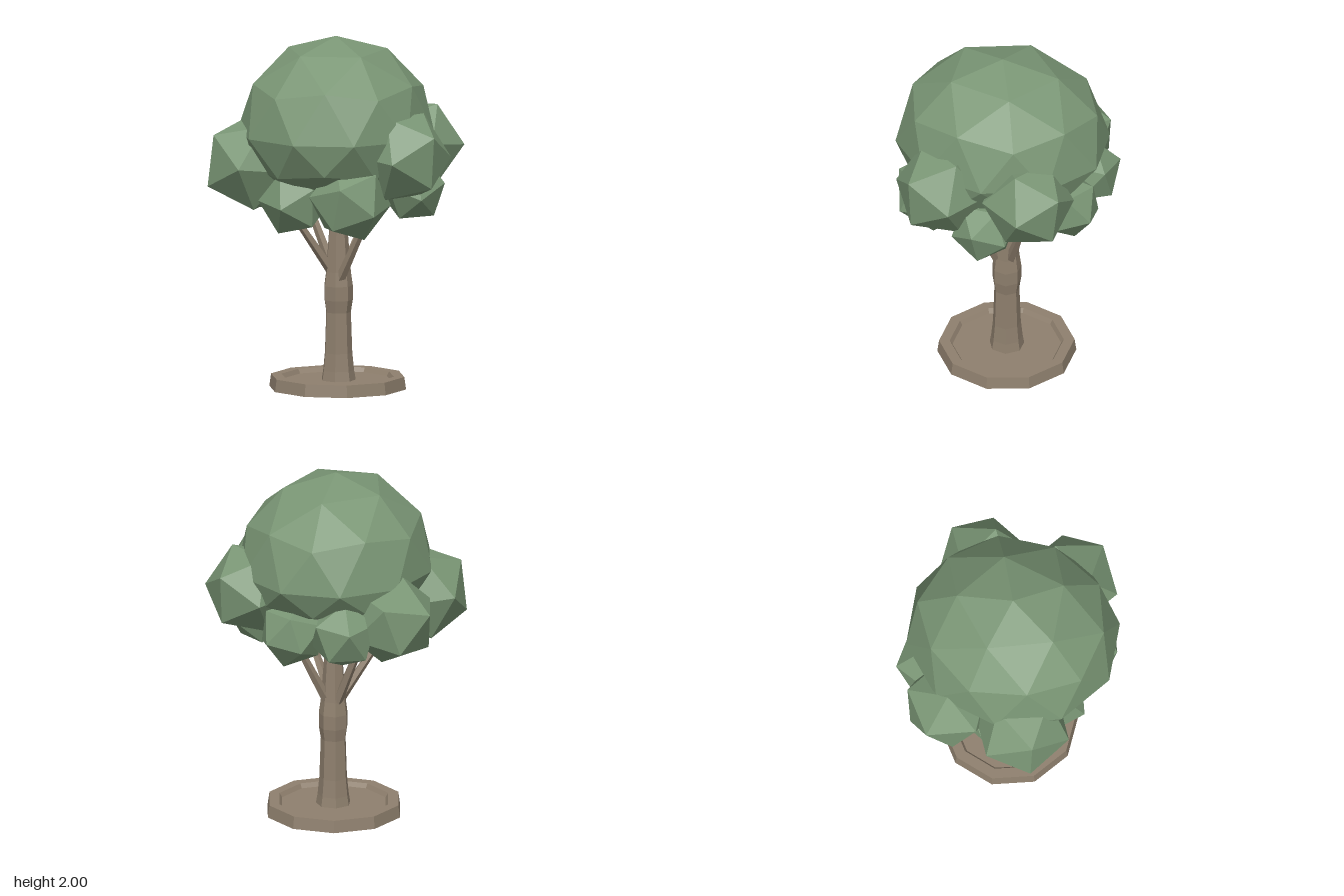
import * as THREE from 'three';

const mat = (name, color) => new THREE.MeshStandardMaterial({ name, color, flatShading: true });

// Rotation frame whose x axis is a, with b in its xy plane
const frame = (a, b) => {
  const x = new THREE.Vector3(...a).normalize();
  const z = x.clone().cross(new THREE.Vector3(...b)).normalize();
  return new THREE.Matrix4().makeBasis(x, z.clone().cross(x), z);
};

export function createModel() {
  const tree = new THREE.Group();
  tree.name = 'tree';
  const bark = mat('bark brown', 0x8f806e);
  const leaf = mat('leaf green', 0x7a9675);
  const dark = mat('dark brown', 0x504845);

  const add = (name, geometry, material, x = 0, y = 0, z = 0) => {
    const mesh = new THREE.Mesh(geometry, material);
    mesh.name = name;
    mesh.position.set(x, y, z);
    tree.add(mesh);
    return mesh;
  };
  const lathe = (points, sides, start) =>
    new THREE.LatheGeometry(points.map(([r, y]) => new THREE.Vector2(r, y)), sides, start);

  // Ten-sided base with a raised rim and a dark underside
  add('base', lathe([[0.39, 0], [0.38, 0.07], [0.32, 0.07], [0.305, 0.045], [0, 0.045]],
    10, Math.PI / 2), bark, 0.02, 0, -0.02);
  add('baseUnderside', lathe([[0, 0], [0.39, 0]], 10, Math.PI / 2), dark, 0.02, 0, -0.02);

  // Trunk: flared foot, knuckle where the branches start, tapering top
  add('trunk', lathe([[0.1, 0.04], [0.09, 0.1], [0.08, 0.2], [0.072, 0.43], [0.083, 0.5],
    [0.083, 0.58], [0.072, 0.66], [0.05, 0.95], [0.04, 1.25]], 7, 0), bark, 0.022, 0, -0.02);

  // Branches
  const up = new THREE.Vector3(0, 1, 0);
  [
    [[0.04, 0.62, 0.02], [0.24, 1.04, 0.14]],
    [[-0.01, 0.66, -0.01], [-0.23, 1.03, 0.12]],
    [[0.05, 0.66, -0.05], [0.21, 1.08, -0.2]],
    [[-0.01, 0.66, -0.05], [-0.2, 1.12, -0.11]],
  ].forEach(([a, b]) => {
    const from = new THREE.Vector3(...a), to = new THREE.Vector3(...b);
    const dir = to.clone().sub(from);
    const mid = from.clone().add(to).multiplyScalar(0.5);
    add('branch', new THREE.CylinderGeometry(0.018, 0.03, dir.length(), 5), bark, mid.x, mid.y, mid.z)
      .quaternion.setFromUnitVectors(up, dir.normalize());
  });

  // Woody core under the crown
  add('crownCore', new THREE.IcosahedronGeometry(1, 1).scale(0.4, 0.16, 0.4), dark, 0.02, 1.21, -0.02);

  // Crown: faceted dome, underside flattened most at the back
  const dome = new THREE.IcosahedronGeometry(1, 1)
    .rotateZ(-Math.atan(2 / (1 + Math.sqrt(5)))).rotateY(0.38);
  const p = dome.attributes.position;
  for (let i = 0; i < p.count; i++) {
    if (p.getY(i) < -0.01) p.setY(i, p.getY(i) * (p.getZ(i) > 0.1 ? 0.75 : 0.55));
  }
  add('crown', dome.scale(0.555, 0.54, 0.61), leaf, 0.015, 1.46, 0.005);

  // Leaf clumps: centre, radius, then directions to two neighbouring corners
  const t = (1 + Math.sqrt(5)) / 2;
  const home = frame([0, 1, t], [0, -1, t]).invert();
  [
    [[0.44, 1.36, 0.23], 0.275, [0.25, -0.01, -0.11], [0.19, 0.14, 0.16]],
    [[0.43, 1.36, -0.27], 0.265, [0.26, 0, -0.01], [0.1, 0.12, -0.22]],
    [[-0.44, 1.29, 0.17], 0.28, [-0.25, 0.03, -0.15], [-0.2, 0.18, 0.12]],
    [[-0.4, 1.26, -0.26], 0.265, [-0.25, 0.07, -0.07], [-0.02, 0.12, -0.23]],
    [[-0.17, 1.2, -0.43], 0.2, [-0.09, 0.05, -0.17], [0, 1, 0]],
    [[-0.36, 1.17, -0.03], 0.18, [-1, 0, 0], [0, -1, 0]],
    [[-0.17, 1.1, 0.28], 0.205, [-0.08, -0.17, 0.05], [-0.2, 0, 0.05]],
    [[0.16, 1.12, 0.36], 0.235, [-0.02, 0.1, 0.24], [-0.07, 0.21, 0.08]],
    [[0.45, 1.14, -0.02], 0.19, [0.18, 0.04, 0.02], [0.07, -0.14, 0]],
    [[0.14, 1.17, -0.41], 0.195, [0.03, -0.17, -0.05], [0.1, 0, -0.17]],
  ].forEach(([centre, r, a, b]) => {
    add('leafClump', new THREE.IcosahedronGeometry(r, 0), leaf, ...centre)
      .quaternion.setFromRotationMatrix(frame(a, b).multiply(home));
  });
  return tree;
}
